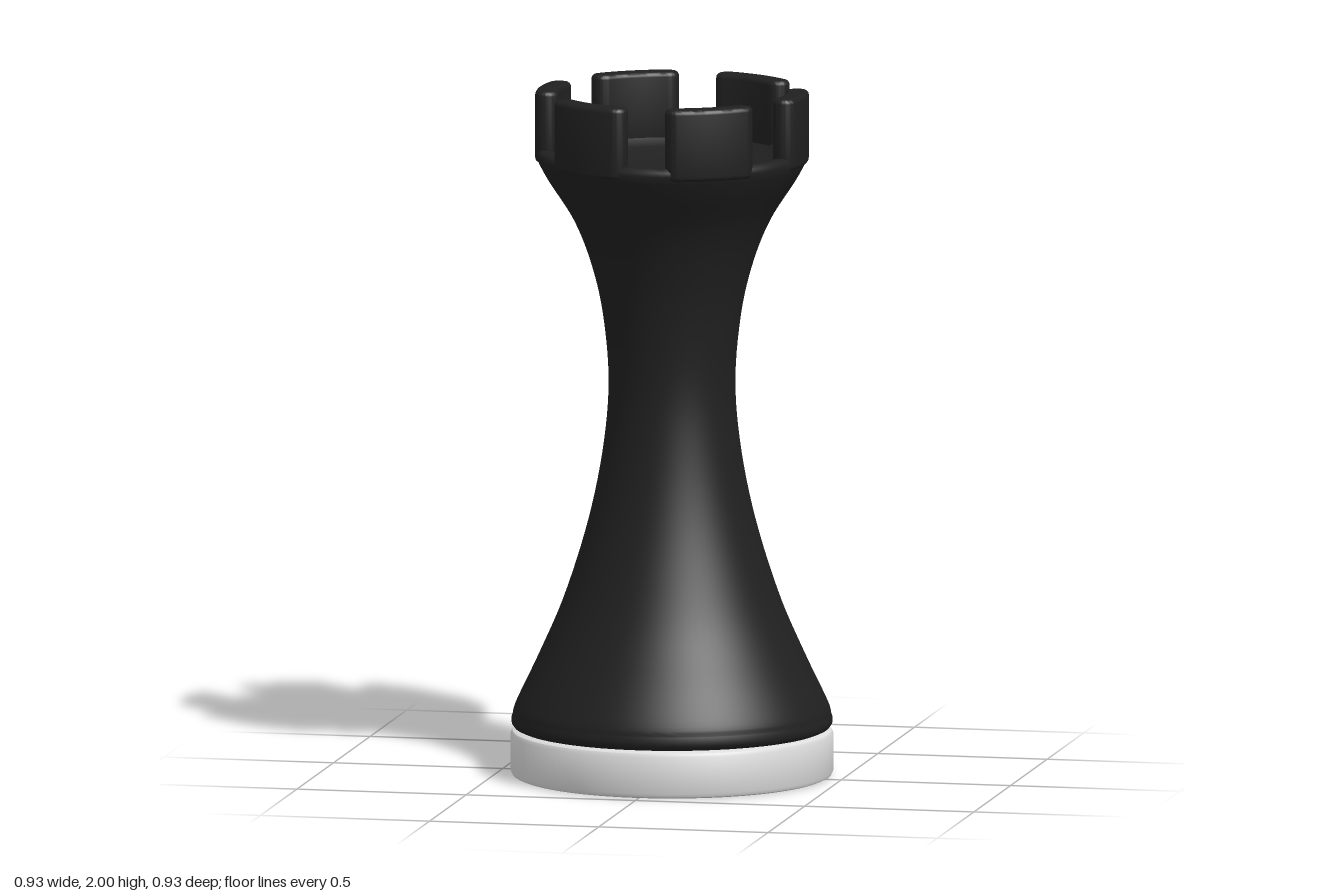
import * as THREE from 'three';
import { toCreasedNormals } from 'three/addons/utils/BufferGeometryUtils.js';

const black = new THREE.MeshStandardMaterial({ color: 0x202020 });
black.name = 'black';
const white = new THREE.MeshStandardMaterial({ color: 0xdddddd });
white.name = 'white';

const vec = ([x, y]) => new THREE.Vector2(x, y);

function addMesh(group, name, geometry, material) {
  const mesh = new THREE.Mesh(geometry, material);
  mesh.name = name;
  group.add(mesh);
  return mesh;
}

// Upright wall block: a curved capsule in plan with softly bevelled edges
function battlementGeometry(halfAngle) {
  const radius = 0.361, half = 0.034, bevel = 0.014, bottom = 1.79, top = 2;
  const h = half - bevel, a = halfAngle;
  const c = radius * Math.cos(a), s = radius * Math.sin(a);
  const shape = new THREE.Shape();
  shape.absarc(0, 0, radius + h, -a, a, false);
  shape.absarc(c, s, h, a, a + Math.PI, false);
  shape.absarc(0, 0, radius - h, a, -a, true);
  shape.absarc(c, -s, h, Math.PI - a, 2 * Math.PI - a, false);
  const geometry = new THREE.ExtrudeGeometry(shape, {
    depth: top - bottom - 2 * bevel, bevelEnabled: true, bevelSize: bevel,
    bevelThickness: bevel, bevelSegments: 4, curveSegments: 14,
  });
  geometry.rotateX(-Math.PI / 2).translate(0, bottom + bevel, 0);
  return toCreasedNormals(geometry, 0.7);
}

export function createModel() {
  const model = new THREE.Group();
  model.name = 'chessRook';

  // Pale disc underneath
  const discProfile = [
    [0, 0], [0.452, 0], [0.461, 0.004], [0.466, 0.014],
    [0.466, 0.121], [0.461, 0.131], [0.452, 0.136], [0, 0.136],
  ].map(vec);
  addMesh(model, 'base', toCreasedNormals(new THREE.LatheGeometry(discProfile, 96), 0.6), white);

  // Waisted body: rolled foot, flared curve, rim and shallow hollow top
  const flare = new THREE.SplineCurve([
    [0.46, 0.178], [0.449, 0.215], [0.385, 0.35], [0.312, 0.52], [0.243, 0.74], [0.2, 0.95],
    [0.183, 1.15], [0.2, 1.35], [0.235, 1.5], [0.285, 1.625], [0.355, 1.735], [0.383, 1.785],
  ].map(vec)).getPoints(60);
  const profile = [
    ...[[0, 0.138], [0.445, 0.138], [0.456, 0.143], [0.463, 0.153], [0.464, 0.166]].map(vec),
    ...flare,
    ...[[0.39, 1.805], [0.389, 1.817], [0.383, 1.825], [0.374, 1.828], [0.35, 1.827],
      [0.338, 1.822], [0.325, 1.808], [0.29, 1.79], [0.2, 1.767], [0.1, 1.755], [0, 1.752]].map(vec),
  ];
  addMesh(model, 'body', toCreasedNormals(new THREE.LatheGeometry(profile, 96), 0.8), black);

  // Ring of six battlements, the two side ones slightly narrower
  const narrow = battlementGeometry(0.233);
  const wide = battlementGeometry(0.272);
  for (let i = 0; i < 6; i++) {
    const block = addMesh(model, 'battlement' + (i + 1), i % 3 === 0 ? narrow : wide, black);
    block.rotation.y = (i * Math.PI) / 3;
  }
  return model;
}
